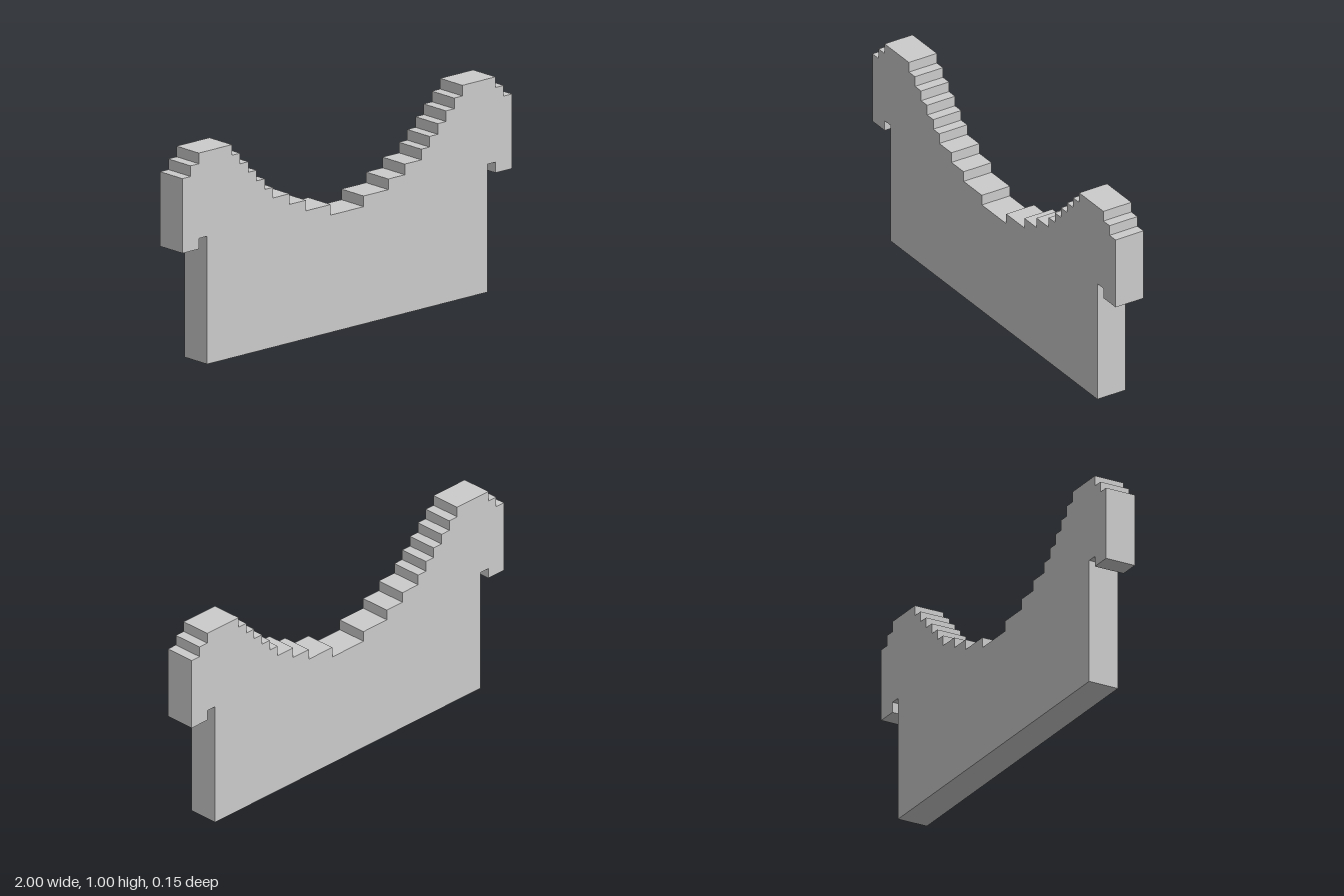
import * as THREE from 'three';

const DEPTH = 0.15;

// Steps of the top edge from the centre outwards: [outer x, height]
const STEPS = [
  [0.1, 0.55], [0.25, 0.6], [0.35, 0.65], [0.45, 0.7], [0.5, 0.75], [0.55, 0.8],
  [0.6, 0.85], [0.65, 0.9], [0.7, 0.95], [0.9, 1], [0.95, 0.95], [1, 0.9],
];

// Hooked underside of the shoulder, then the straight side down to the base
const SIDE = [[1, 0.55], [0.9, 0.55], [0.9, 0.6], [0.85, 0.6], [0.85, 0]];

function halfOutline() {
  const points = [];
  STEPS.forEach(([x, y], i) => {
    if (i > 0) points.push([STEPS[i - 1][0], y]);
    points.push([x, y]);
  });
  return points.concat(SIDE);
}

export function createModel() {
  const group = new THREE.Group();
  group.name = 'steppedWall';

  // Mirror the half outline into one closed silhouette
  const half = halfOutline();
  const mirrored = half.map(([x, y]) => [-x, y]).reverse();
  const outline = [...mirrored, ...half].map(([x, y]) => new THREE.Vector2(x, y));

  // Wall slab with its stepped saddle and overhanging shoulders
  const geometry = new THREE.ExtrudeGeometry(new THREE.Shape(outline), {
    depth: DEPTH,
    bevelEnabled: false,
  });
  geometry.translate(0, 0, -DEPTH / 2);

  const material = new THREE.MeshStandardMaterial({ color: 0xcccccc, flatShading: true });
  const wall = new THREE.Mesh(geometry, material);
  wall.name = 'wall';
  group.add(wall);
  return group;
}
